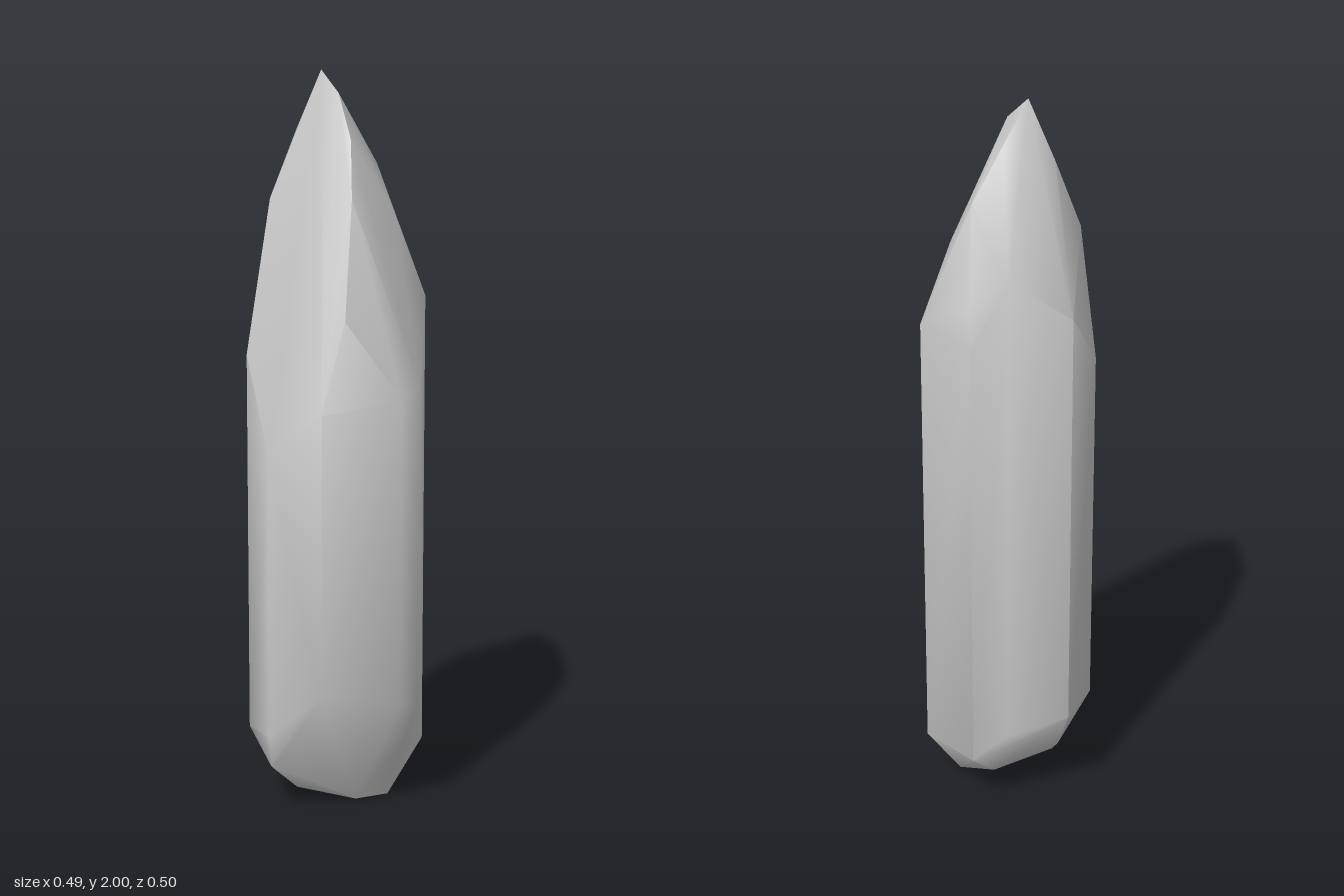
import * as THREE from 'three';
import { ConvexGeometry } from 'three/addons/geometries/ConvexGeometry.js';
import { toCreasedNormals } from 'three/addons/utils/BufferGeometryUtils.js';

// Columns of the crystal's shaft: x, z, lower height, upper height
const columns = [
  [-0.06, -0.255, 0.17, 1.40],
  [0.15, -0.19, 0.15, 1.40],
  [0.243, -0.06, 0.30, 1.18],
  [0.243, 0.01, 0.32, 1.15],
  [0.135, 0.205, 0.36, 1.12],
  [-0.015, 0.25, 0.22, 1.00],
  [-0.15, 0.193, 0.21, 1.25],
  [-0.245, -0.06, 0.28, 1.46],
  [-0.13, -0.185, 0.24, 1.57],
];

// Slanted tip: x, y, z
const tip = [
  [-0.07, 2.0, -0.015], [0, 1.94, -0.008], [0.06, 1.82, 0.01],
  [0.1, 1.67, 0.05], [0.15, 1.36, 0.13],
  [-0.13, 1.84, 0.02], [-0.17, 1.66, 0.08], [-0.19, 1.62, -0.02],
  [-0.04, 1.89, -0.08], [0.0, 1.75, -0.16], [0.1, 1.62, -0.12],
  [-0.02, 1.61, -0.21], [-0.05, 1.51, -0.24], [0.17, 1.4, -0.05],
];

// Blunt, lopsided base: x, y, z
const base = [
  [0.11, 0, -0.09], [0.09, 0.01, 0.02], [-0.03, 0.04, 0.1],
  [-0.02, 0.05, 0.14], [-0.03, 0.13, 0.23], [-0.13, 0.09, 0.03],
  [-0.19, 0.16, -0.03], [-0.07, 0.1, -0.17], [0.19, 0.17, -0.06],
];

export function createModel() {
  const points = [...tip, ...base].map((p) => new THREE.Vector3(...p));
  for (const [x, z, low, high] of columns) {
    points.push(new THREE.Vector3(x, low, z), new THREE.Vector3(x, high, z));
  }

  // Facets wrapped around the points, blended except at sharp ridges
  const geometry = toCreasedNormals(new ConvexGeometry(points), 0.95);
  const crystal = new THREE.Mesh(
    geometry,
    new THREE.MeshStandardMaterial({ color: 0xcccccc })
  );
  crystal.name = 'crystal';

  const group = new THREE.Group();
  group.name = 'crystalShard';
  group.add(crystal);
  return group;
}
